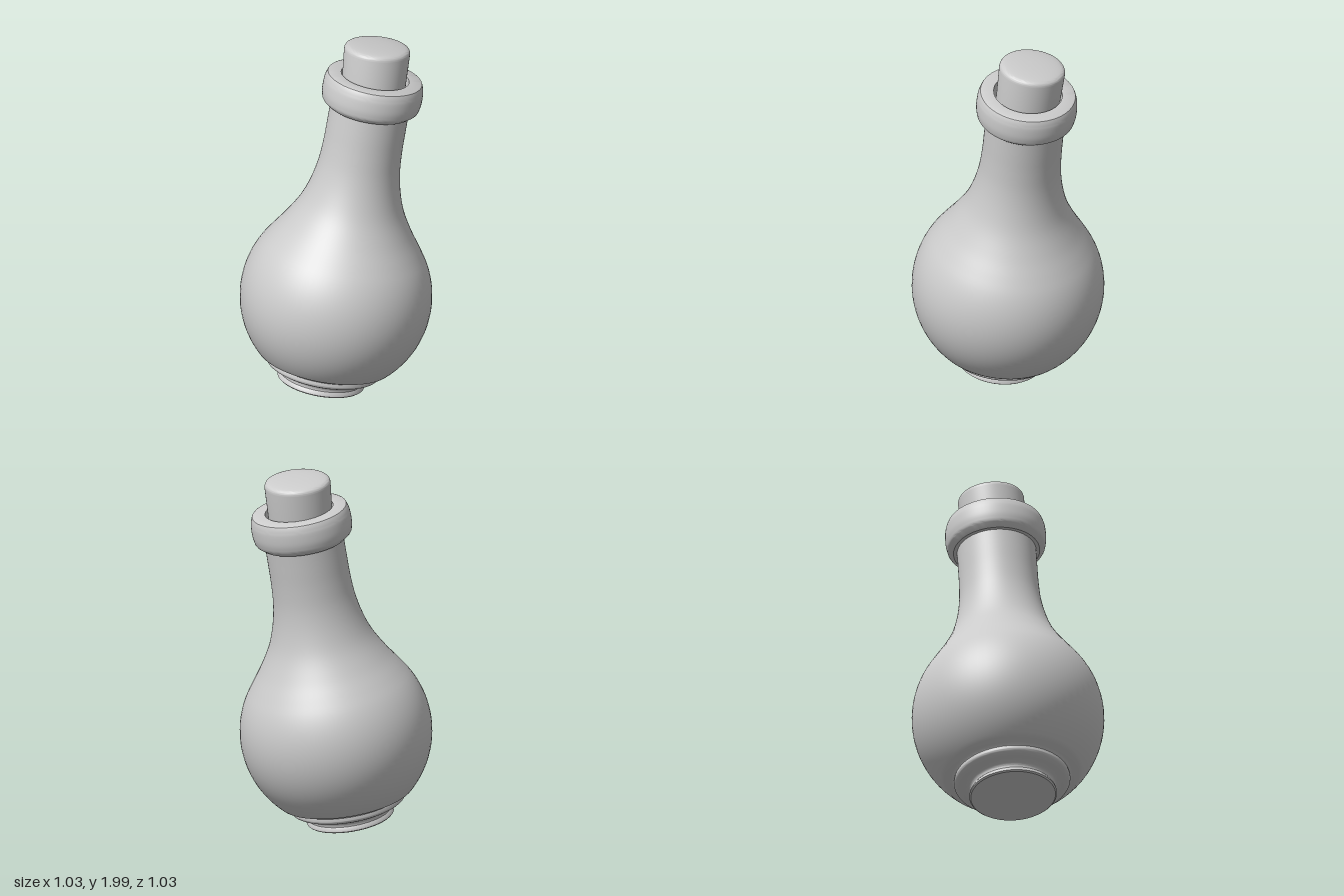
import * as THREE from 'three';
import { toCreasedNormals } from 'three/addons/utils/BufferGeometryUtils.js';

const SEGMENTS = 72;
const CENTER = new THREE.Vector3(0, 0.54, 0); // middle of the round belly
const UP = new THREE.Vector3(0, 1, 0);
const BELLY = 0.517;

// Revolve a profile of [radius, height] pairs, keeping sharp corners sharp
function turned(name, profile) {
  const points = profile.map(([r, y]) => new THREE.Vector2(r, y));
  const geometry = toCreasedNormals(new THREE.LatheGeometry(points, SEGMENTS), 0.6);
  const mesh = new THREE.Mesh(geometry, new THREE.MeshStandardMaterial({ color: 0xcccccc }));
  mesh.name = name;
  return mesh;
}

// Smooth run of profile points through a few control points
function smooth(controls, count) {
  const curve = new THREE.CatmullRomCurve3(controls.map(([r, y]) => new THREE.Vector3(r, y, 0)));
  return curve.getPoints(count).map((p) => [p.x, p.y]);
}

export function createModel() {
  const model = new THREE.Group();
  model.name = 'corkedFlask';

  // Leaning bottle: heights are measured from the belly centre
  const bottle = new THREE.Group();
  bottle.name = 'bottle';
  bottle.position.copy(CENTER);
  bottle.quaternion.setFromUnitVectors(UP, new THREE.Vector3(0.107, 1, -0.155).normalize());
  model.add(bottle);

  // Foot disc, groove and ring below the belly
  const foot = [
    [0, -0.504], [0.228, -0.504], [0.236, -0.497], [0.234, -0.485],
    ...smooth([[0.226, -0.473], [0.23, -0.455], [0.25, -0.443], [0.288, -0.43],
      [0.308, -0.418], [0.313, -0.405], [0.311, -0.39], [0.326, -0.377]], 20),
  ];
  // Spherical belly
  const belly = [];
  for (let i = 0; i <= 28; i++) {
    const a = THREE.MathUtils.lerp(-0.79, 0.6, i / 28);
    belly.push([BELLY * Math.cos(a), BELLY * Math.sin(a)]);
  }
  // Shoulder sweeping into the neck
  const neck = smooth([[0.405, 0.325], [0.345, 0.415], [0.282, 0.53], [0.245, 0.64],
    [0.222, 0.76], [0.214, 0.88], [0.213, 1.0], [0.213, 1.15]], 32);
  bottle.add(turned('body', [...foot, ...belly, ...neck]));

  // Thick lip around the mouth, with a bevelled underside and a recess
  bottle.add(turned('lip', [
    [0.205, 1.1], [0.232, 1.1], [0.258, 1.122],
    ...smooth([[0.263, 1.13], [0.27, 1.165], [0.271, 1.2], [0.268, 1.24], [0.26, 1.268]], 12),
    [0.256, 1.276], [0.248, 1.28], [0.185, 1.28], [0.185, 1.17], [0, 1.17],
  ]));

  // Cork, seated at a slightly different angle, with a softly domed top
  const cork = turned('cork', [
    [0, -0.2], [0.17, -0.2], [0.178, 0.035],
    ...smooth([[0.178, 0.04], [0.176, 0.053], [0.168, 0.064], [0.15, 0.071],
      [0.1, 0.078], [0.05, 0.081], [0, 0.082]], 18),
  ]);
  cork.position.set(0.132, 1.9, -0.213);
  cork.quaternion.setFromUnitVectors(UP, new THREE.Vector3(0.03, 1, -0.15).normalize());
  model.add(cork);

  return model;
}
